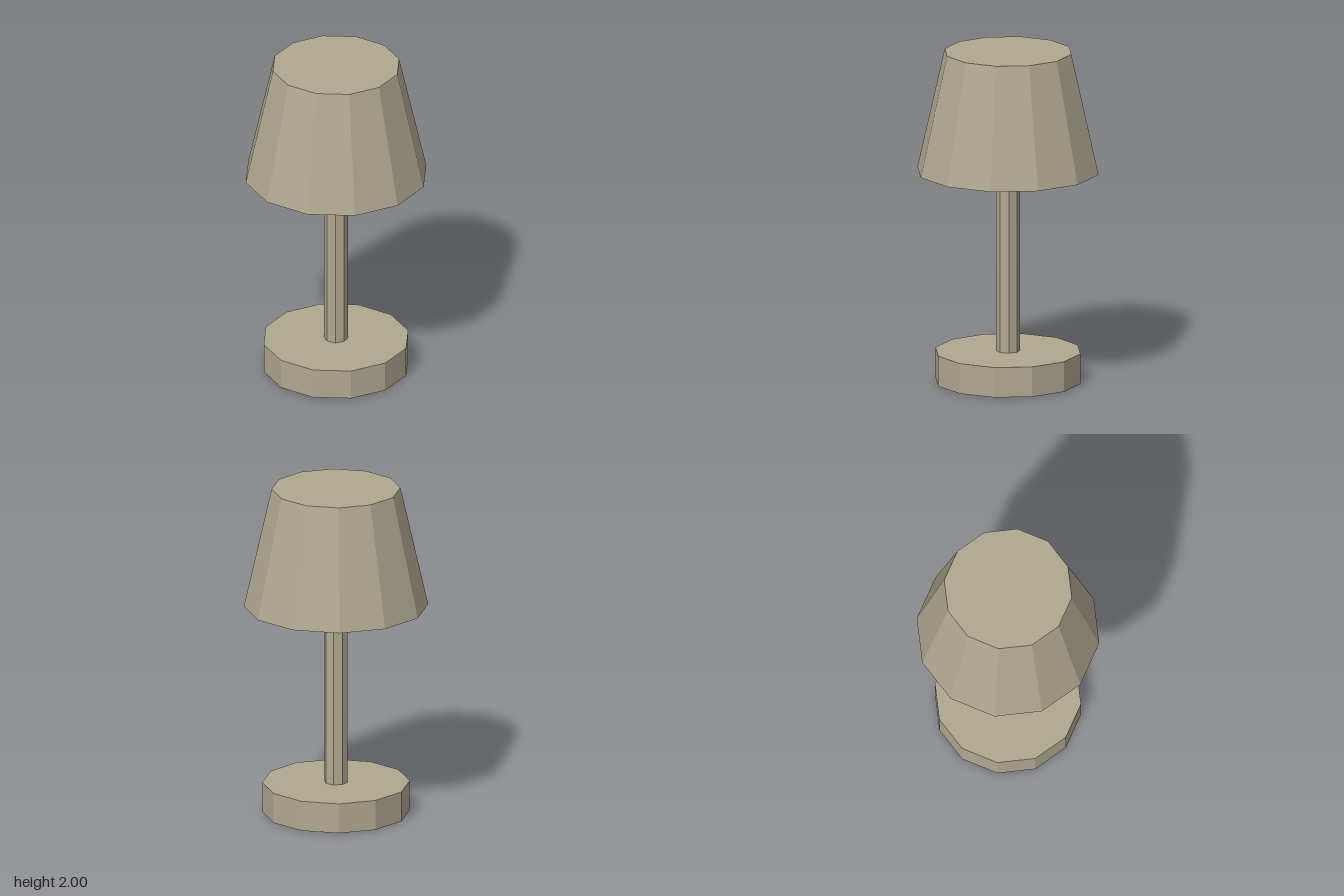
import * as THREE from 'three';

export function createModel() {
  const lamp = new THREE.Group();
  lamp.name = 'tableLamp';

  const beige = new THREE.MeshStandardMaterial({ color: 0xb0a890, flatShading: true });
  beige.name = 'warm grey';

  // Closed low-poly drum or cone between two heights
  function addDrum(name, topRadius, bottomRadius, y0, y1, sides) {
    const geometry = new THREE.CylinderGeometry(topRadius, bottomRadius, y1 - y0, sides);
    const mesh = new THREE.Mesh(geometry, beige);
    mesh.name = name;
    mesh.position.y = (y0 + y1) / 2;
    lamp.add(mesh);
  }

  addDrum('base', 0.436, 0.436, 0, 0.182, 12);
  addDrum('pole', 0.07, 0.07, 0.182, 1.275, 8);
  addDrum('shade', 0.381, 0.545, 1.275, 2, 12);

  return lamp;
}
